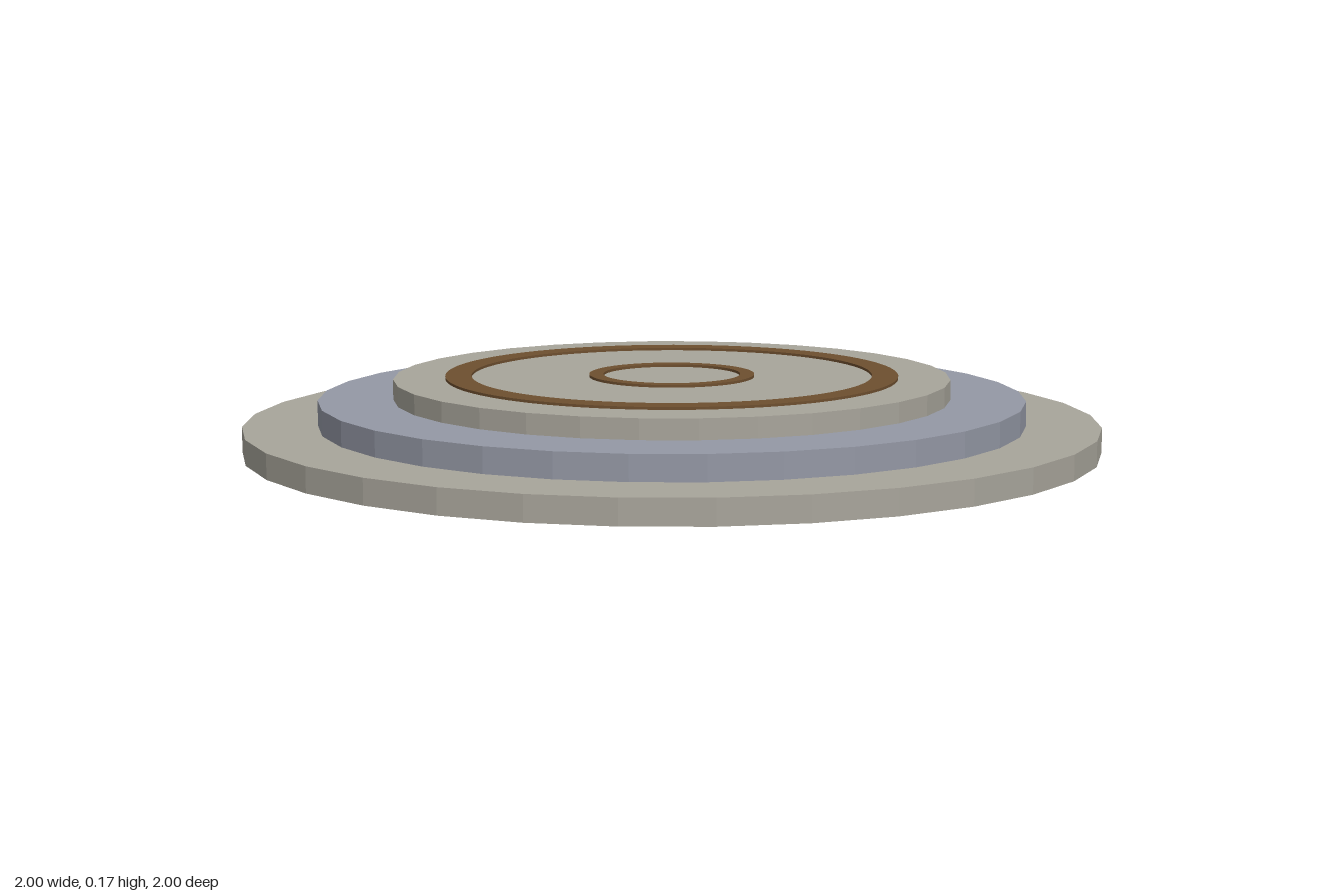
import * as THREE from 'three';

const material = (name, color, flatShading = false) => {
  const m = new THREE.MeshStandardMaterial({ color, flatShading });
  m.name = name;
  return m;
};

export function createModel() {
  const stone = material('warm grey stone', 0xa8a59b, true);
  const slate = material('blue grey stone', 0x9498a5, true);
  const bronze = material('bronze', 0x6e4f2f);

  const model = new THREE.Group();
  model.name = 'steppedDais';

  // Three stacked round steps
  const steps = [
    ['lowerStep', 1, 0, 0.059, stone],
    ['middleStep', 0.825, 0.059, 0.118, slate],
    ['upperStep', 0.65, 0.118, 0.165, stone],
  ];
  for (const [name, radius, bottom, top, mat] of steps) {
    const mesh = new THREE.Mesh(new THREE.CylinderGeometry(radius, radius, top - bottom, 32), mat);
    mesh.name = name;
    mesh.position.y = (bottom + top) / 2;
    model.add(mesh);
  }

  // Thin inlaid rings, standing slightly proud of the upper step
  const rings = [
    ['outerRing', 0.468, 0.529],
    ['innerRing', 0.16, 0.193],
  ];
  for (const [name, inner, outer] of rings) {
    const shape = new THREE.Shape().absarc(0, 0, outer, 0, Math.PI * 2, false);
    shape.holes.push(new THREE.Path().absarc(0, 0, inner, 0, Math.PI * 2, true));
    const geometry = new THREE.ExtrudeGeometry(shape, { depth: 0.006, bevelEnabled: false, curveSegments: 64 });
    geometry.rotateX(-Math.PI / 2);
    const mesh = new THREE.Mesh(geometry, bronze);
    mesh.name = name;
    mesh.position.y = 0.165;
    model.add(mesh);
  }

  return model;
}
